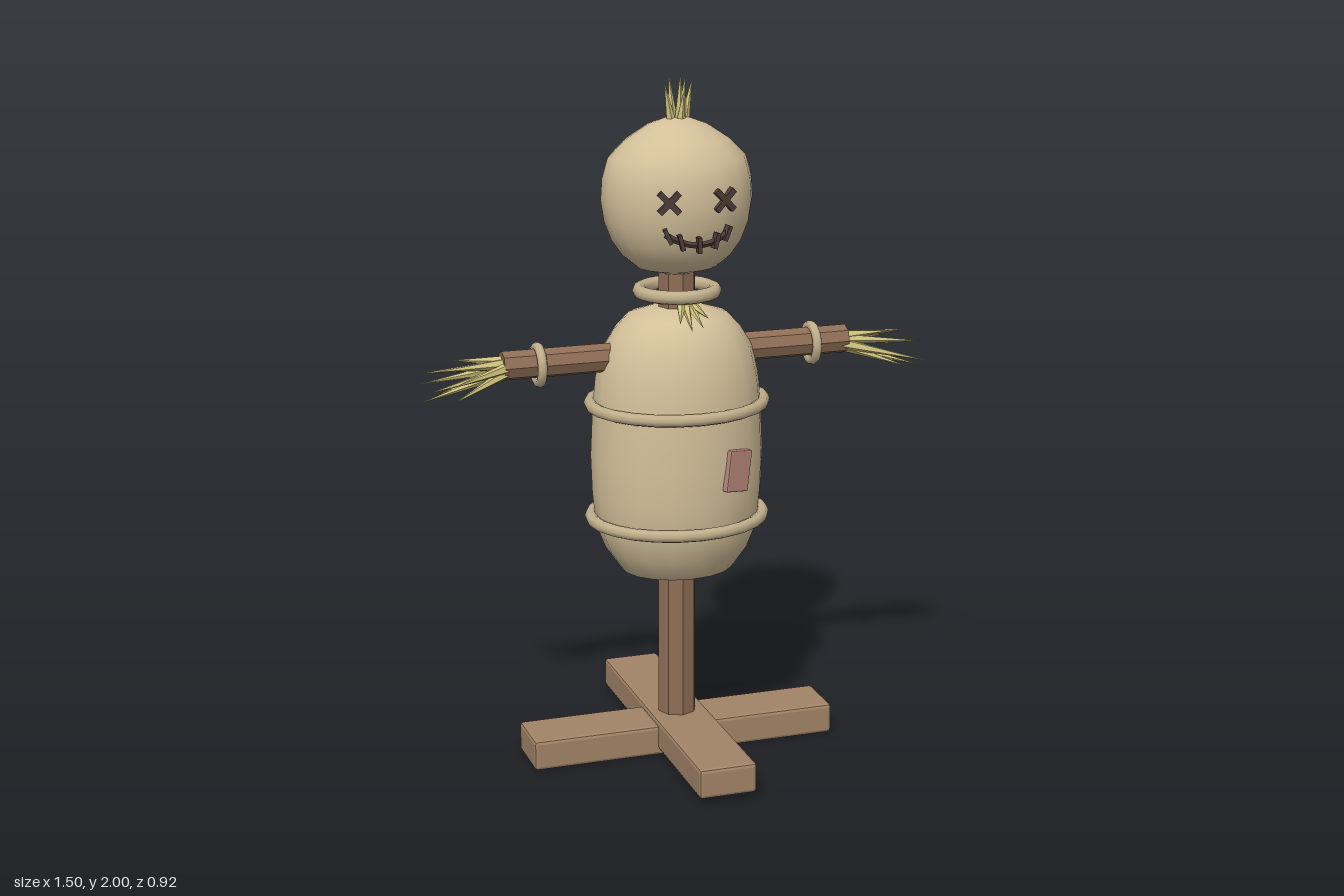
import * as THREE from 'three';
import { RoundedBoxGeometry } from 'three/addons/geometries/RoundedBoxGeometry.js';

const mat = (name, color, flatShading = false) => {
  const m = new THREE.MeshStandardMaterial({ color, flatShading });
  m.name = name;
  return m;
};

export function createModel() {
  const burlap = mat('burlap', 0xd3c09a);
  const plankWood = mat('plank wood', 0xa18467, true);
  const poleWood = mat('pole wood', 0x8f6e56, true);
  const rope = mat('rope', 0xc2b08c);
  const straw = mat('straw', 0xcfc27c, true);
  const thread = mat('dark thread', 0x4c3b38, true);
  const cloth = mat('patch cloth', 0xb5857a, true);

  const root = new THREE.Group();
  root.name = 'scarecrow';
  const DEPTH = 0.86; // body and head are flattened front to back

  const add = (name, geo, material, x = 0, y = 0, z = 0, parent = root) => {
    const m = new THREE.Mesh(geo, material);
    m.name = name;
    m.position.set(x, y, z);
    parent.add(m);
    return m;
  };

  // Crossed foot planks
  add('footPlankAcross', new RoundedBoxGeometry(0.92, 0.09, 0.17, 1, 0.01), plankWood, 0, 0.045, 0);
  add('footPlankForward', new RoundedBoxGeometry(0.17, 0.088, 0.92, 1, 0.01), plankWood, 0, 0.061, 0);

  // Upright post and cross arm
  add('post', new THREE.CylinderGeometry(0.054, 0.057, 1.42, 8), poleWood, 0, 0.76, 0);
  const arm = add('crossArm', new THREE.CylinderGeometry(0.042, 0.042, 1.03, 8), poleWood, 0, 1.195, 0);
  arm.rotation.z = Math.PI / 2;

  // Stuffed body and head
  const stuffed = (name, profile) => {
    const pts = profile.map(([r, y]) => new THREE.Vector2(r, y));
    const m = add(name, new THREE.LatheGeometry(pts, 18), burlap);
    m.scale.z = DEPTH;
    return m;
  };
  stuffed('body', [[0, 0.538], [0.085, 0.54], [0.165, 0.556], [0.21, 0.62], [0.238, 0.69], [0.248, 0.79],
    [0.252, 0.9], [0.245, 1.05], [0.237, 1.13], [0.218, 1.21], [0.185, 1.265], [0.145, 1.308], [0.075, 1.33], [0, 1.335]]);
  stuffed('head', [[0, 1.428], [0.06, 1.432], [0.115, 1.447], [0.155, 1.48], [0.187, 1.525], [0.208, 1.58], [0.217, 1.64],
    [0.213, 1.7], [0.197, 1.757], [0.15, 1.805], [0.085, 1.848], [0.04, 1.864], [0, 1.87]]);

  // Rope rings
  for (const [name, y, r, tube, depth] of [['lowerBelt', 0.714, 0.252, 0.018, 0.88],
    ['upperBelt', 1.052, 0.252, 0.018, 0.88], ['neckRope', 1.376, 0.107, 0.02, 1]]) {
    const ring = add(name, new THREE.TorusGeometry(r, tube, 8, 24), rope, 0, y, 0);
    ring.rotation.x = Math.PI / 2;
    ring.scale.y = depth;
  }
  for (const s of [-1, 1]) {
    const cuff = add(s > 0 ? 'leftCuffRope' : 'rightCuffRope', new THREE.TorusGeometry(0.051, 0.014, 8, 16), rope, s * 0.41, 1.19, 0);
    cuff.rotation.y = Math.PI / 2;
  }

  // A straw blade is a thin cone from a to b
  const up = new THREE.Vector3(0, 1, 0);
  const tuft = (name, radius, blades) => {
    const g = new THREE.Group();
    g.name = name;
    root.add(g);
    for (const [a, b] of blades) {
      const from = new THREE.Vector3(...a), to = new THREE.Vector3(...b);
      const dir = to.clone().sub(from);
      const m = add('strawBlade', new THREE.ConeGeometry(radius, dir.length(), 5), straw, 0, 0, 0, g);
      m.position.copy(from).addScaledVector(dir, 0.5);
      m.quaternion.setFromUnitVectors(up, dir.normalize());
    }
  };

  // Straw hands: tips given as x, y, z for the left side
  const tips = [[0.75, 1.1, 0.02], [0.74, 1.15, -0.065], [0.73, 1.135, 0.1], [0.72, 1.2, -0.03],
    [0.74, 1.18, 0.045], [0.65, 1.215, 0.03], [0.67, 1.12, -0.075], [0.69, 1.11, 0.06], [0.68, 1.17, -0.1]];
  for (const s of [-1, 1]) {
    tuft(s > 0 ? 'leftStrawHand' : 'rightStrawHand', 0.017, tips.map(([x, y, z]) =>
      [[s * 0.495, 1.195 + (y - 1.17) * 0.25, s * z * 0.2], [s * x, y, s * z]]));
  }

  // Straw on the crown and at the collar
  tuft('crownStraw', 0.015, [[-0.04, 1.97, 0.01], [-0.018, 1.99, -0.02], [0.008, 2, 0.01],
    [0.03, 1.985, -0.015], [0.054, 1.975, -0.025], [0.012, 1.95, 0.03]].map(([x, y, z]) =>
    [[x * 0.45, 1.85, z * 0.4], [x, y, z]]));
  tuft('collarStraw', 0.016, [[-0.045, 1.315, 0.165], [-0.012, 1.292, 0.175], [0.022, 1.3, 0.17],
    [0.04, 1.325, 0.16]].map(([x, y, z]) => [[x * 0.3, 1.355, 0.08], [x, y, z]]));

  // Stitched cross eyes
  for (const s of [-1, 1]) {
    const eye = new THREE.Group();
    eye.name = s > 0 ? 'leftEye' : 'rightEye';
    eye.position.set(s * 0.08, 1.66, 0.175);
    eye.rotation.y = s * 0.2;
    root.add(eye);
    for (const t of [-1, 1]) {
      add('eyeStitch', new THREE.BoxGeometry(0.078, 0.017, 0.018), thread, 0, 0, 0, eye).rotation.z = t * Math.PI / 4;
    }
  }

  // Curved mouth with cross stitches
  const smile = (x) => new THREE.Vector3(x, 1.542 + 3.6 * x * x, 0.19 - 2.2 * x * x);
  const curve = new THREE.CatmullRomCurve3([-0.092, -0.06, -0.03, 0, 0.03, 0.06, 0.092].map(smile));
  add('mouth', new THREE.TubeGeometry(curve, 14, 0.009, 5), thread);
  for (const x of [-0.085, -0.05, 0, 0.05, 0.085]) {
    const p = smile(x);
    const st = add('mouthStitch', new THREE.BoxGeometry(0.012, 0.044, 0.022), thread, p.x, p.y, p.z + 0.004);
    st.rotation.set(0, x * 2.5, -x * 5);
  }

  // Cloth patch on the belly
  const patch = add('patch', new RoundedBoxGeometry(0.08, 0.12, 0.022, 1, 0.004), cloth, 0.115, 0.886, 0.195);
  patch.rotation.set(0, 0.38, -0.14);

  return root;
}
